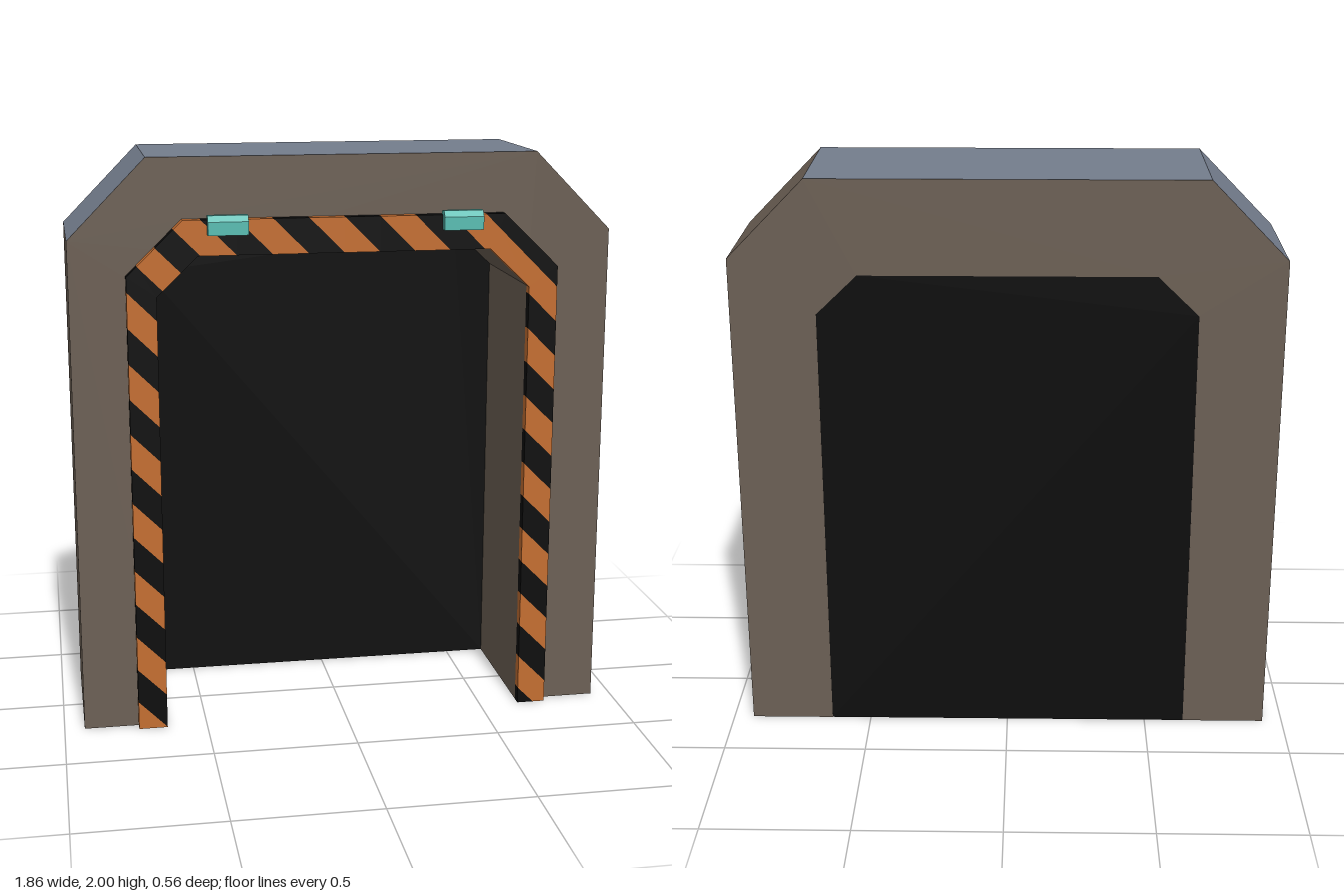
import * as THREE from 'three';
import { mergeGeometries } from 'three/addons/utils/BufferGeometryUtils.js';

const mat = (name, color, side = THREE.FrontSide) =>
  Object.assign(new THREE.MeshStandardMaterial({ color, side }), { name });

const toShape = pts => new THREE.Shape(pts.map(p => new THREE.Vector2(p[0], p[1])));

const prism = (pts, z0, z1) =>
  new THREE.ExtrudeGeometry(toShape(pts), { depth: z1 - z0, bevelEnabled: false }).translate(0, 0, z0);

// Mirrored open arch outline, running from the right foot to the left foot
const arch = (w, shoulder, topW, top) =>
  [[w, 0], [w, shoulder], [topW, top], [-topW, top], [-w, shoulder], [-w, 0]];

// Keep the part of a convex polygon where sign * (x + y - limit) >= 0
function clip(poly, limit, sign) {
  const out = [];
  const dist = p => sign * (p[0] + p[1] - limit);
  poly.forEach((a, i) => {
    const b = poly[(i + 1) % poly.length], da = dist(a), db = dist(b);
    if (da >= 0) out.push(a);
    if (da * db < 0) {
      const t = da / (da - db);
      out.push([a[0] + (b[0] - a[0]) * t, a[1] + (b[1] - a[1]) * t]);
    }
  });
  return out;
}

const area = poly => Math.abs(poly.reduce((s, a, i) => {
  const b = poly[(i + 1) % poly.length];
  return s + a[0] * b[1] - b[0] * a[1];
}, 0)) / 2;

export function createModel() {
  const model = new THREE.Group();
  model.name = 'tunnelPortal';
  const stone = mat('brown stone', 0x6c6055);
  const slate = mat('blue grey slate', 0x747d8d, THREE.DoubleSide);
  const orange = mat('hazard orange', 0xc46e31);
  const black = mat('black', 0x0d0d0d, THREE.DoubleSide);
  const teal = mat('teal lamp', 0x58bdb2);
  const add = (name, geometry, material) => {
    const mesh = new THREE.Mesh(geometry, material);
    mesh.name = name;
    model.add(mesh);
    return mesh;
  };

  const outer = arch(0.93, 1.73, 0.665, 2);
  const opening = arch(0.64, 1.54, 0.5, 1.675);
  const trimEdge = arch(0.74, 1.61, 0.55, 1.795);

  // Thick portal frame; the roof and one shoulder are slate
  const frame = prism([...outer, ...[...opening].reverse()], -0.28, 0.22);
  const n = frame.attributes.normal;
  frame.clearGroups();
  for (let i = 0; i < n.count; i += 3)
    frame.addGroup(i, 3, n.getY(i) > 0.5 && n.getX(i) < 0.1 ? 1 : 0);
  add('portalFrame', frame, [stone, slate]);

  // Dark panel closing the back
  add('backPanel', new THREE.ShapeGeometry(toShape(opening)).translate(0, 0, -0.279), black);

  // Slate patch low on the inner wall
  const patch = [[0.064, 0], [0.28, 0], [0.28, 0.48], [0.235, 0.53], [0.24, 0.59],
    [0.2, 0.635], [0.17, 0.61], [0.15, 0.56], [0.07, 0.51], [0.09, 0.49], [0.064, 0.46]];
  add('wallPatch', new THREE.ShapeGeometry(toShape(patch)).rotateY(Math.PI / 2)
    .translate(-0.638, 0, 0), slate);

  // Hazard trim: each arch segment is sliced into diagonal bands
  const period = 0.243, start = 1.67 - 11 * period;
  const bands = [[], []];
  for (let s = 0; s < 5; s++) {
    const segment = [trimEdge[s], trimEdge[s + 1], opening[s + 1], opening[s]];
    for (let k = 0; k < 32; k++) {
      const lo = start + k * period / 2;
      const piece = clip(clip(segment, lo, 1), lo + period / 2, -1);
      if (piece.length > 2 && area(piece) > 1e-5) bands[k % 2].push(prism(piece, 0.22, 0.255));
    }
  }
  add('orangeTrimBands', mergeGeometries(bands[0]), orange);
  add('blackTrimBands', mergeGeometries(bands[1]), black);

  // Two lamps with chamfered tops, profile drawn in z and y
  const lampProfile = [[-0.23, 1.745], [-0.23, 1.79], [-0.243, 1.81],
    [-0.268, 1.81], [-0.283, 1.79], [-0.283, 1.745]];
  for (const [side, x] of [['left', 0.4], ['right', -0.4]])
    add(side + 'Lamp', prism(lampProfile, -0.068, 0.068).rotateY(Math.PI / 2).translate(x, 0, 0), teal);

  return model;
}
